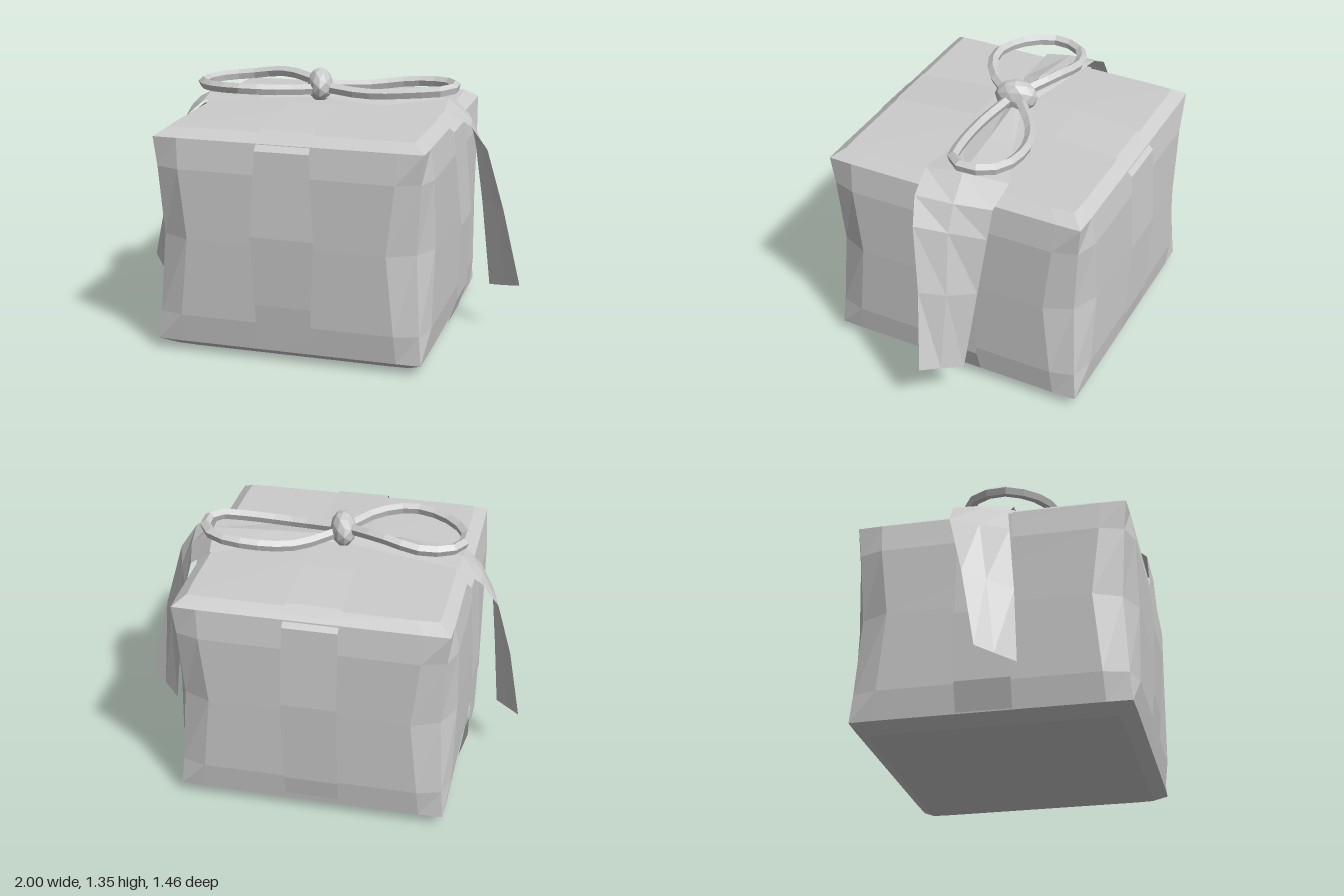
import * as THREE from 'three';

const paper = new THREE.MeshStandardMaterial({ color: 0xcccccc, flatShading: true, side: THREE.DoubleSide });
paper.name = 'plain grey';

function addMesh(group, name, geometry) {
  const mesh = new THREE.Mesh(geometry, paper);
  mesh.name = name;
  group.add(mesh);
  return mesh;
}

// Skin a list of equal-length point rows; closed rows join end to start, caps fan to the centre.
function skin(rows, closed, caps) {
  const n = rows[0].length, pos = rows.flat(2), idx = [];
  for (let j = 0; j < rows.length - 1; j++) {
    for (let i = 0; i < (closed ? n : n - 1); i++) {
      const a = j * n + i, b = j * n + (i + 1) % n;
      idx.push(a, b, b + n, a, b + n, a + n);
    }
  }
  if (caps) {
    const low = pos.length / 3, last = (rows.length - 1) * n;
    pos.push(caps.x, caps.bottom, 0, caps.x, caps.top, 0);
    for (let i = 0; i < n; i++) {
      const k = (i + 1) % n;
      idx.push(low, k, i, low + 1, last + i, last + k);
    }
  }
  const g = new THREE.BufferGeometry();
  g.setAttribute('position', new THREE.Float32BufferAttribute(pos, 3));
  g.setIndex(idx);
  g.computeVertexNormals();
  return g;
}

const CX = -0.035; // box centre in x

// One horizontal ring of the wrapped box: corners pinched in, faces puffed out
function boxRing([y, corner, face, inset]) {
  const ring = [];
  for (let side = 0; side < 4; side++) {
    for (const [u, v] of [[-corner, corner], [-inset, face], [inset, face]]) {
      let x = u, z = v;
      for (let k = 0; k < side; k++) [x, z] = [z, -x];
      ring.push([x + CX, y, z]);
    }
  }
  return ring;
}

export function createModel() {
  const model = new THREE.Group();
  model.name = 'giftBox';

  // Wrapped box: [height, corner half width, face half width, inset]
  const levels = [
    [0.01, 0.6, 0.605, 0.5], [0.055, 0.672, 0.675, 0.55], [0.2, 0.66, 0.693, 0.54],
    [0.6, 0.637, 0.698, 0.5], [0.95, 0.658, 0.696, 0.54], [1.1, 0.672, 0.675, 0.55],
    [1.142, 0.61, 0.615, 0.5],
  ];
  addMesh(model, 'box', skin(levels.map(boxRing), true, { x: CX, bottom: 0, top: 1.15 }));

  // Strap running front to back over the lid: [z, y, left x, right x]
  const lengthways = [
    [0.69, 0.1, -0.18, 0.09], [0.712, 0.3, -0.185, 0.1], [0.73, 0.65, -0.2, 0.12], [0.705, 1.07, -0.18, 0.09],
    [0.61, 1.155, -0.18, 0.09], [0.15, 1.19, -0.18, 0.09], [-0.28, 1.18, -0.18, 0.09],
    [-0.61, 1.155, -0.18, 0.09], [-0.7, 1.07, -0.18, 0.09], [-0.725, 0.65, -0.18, 0.1], [-0.705, 0.2, -0.18, 0.09],
    [-0.685, 0.09, -0.18, 0.09],
  ];
  addMesh(model, 'lengthwaysStrap', skin(lengthways.map(([z, y, l, r]) => [[l, y, z], [r, y, z]]), false));

  // Strap running side to side: [x, y]
  const crossways = [
    [-0.715, 0.06], [-0.757, 0.2], [-0.765, 0.55], [-0.735, 1.08], [-0.65, 1.15], [-0.05, 1.165],
    [0.58, 1.15], [0.665, 1.08], [0.712, 0.6], [0.698, 0.2], [0.655, 0.07],
  ];
  addMesh(model, 'crosswaysStrap', skin(crossways.map(([x, y]) => [[x, y, 0.115], [x, y, -0.155]]), false));

  // Hanging ribbon tails: rows of front edge, crease and back edge
  const leftTail = [
    [[-0.04, 1.2, 0.04], [-0.04, 1.22, 0], [-0.04, 1.2, -0.04]],
    [[0.3, 1.19, 0.1], [0.3, 1.22, -0.03], [0.3, 1.2, -0.16]],
    [[0.62, 1.2, 0.14], [0.6, 1.215, -0.05], [0.56, 1.19, -0.27]],
    [[0.75, 1.12, 0.13], [0.72, 1.11, -0.06], [0.67, 1.1, -0.24]],
    [[0.83, 1.0, 0.1], [0.78, 0.98, -0.06], [0.71, 0.95, -0.23]],
    [[0.91, 0.68, 0.04], [0.85, 0.66, -0.08], [0.76, 0.65, -0.2]],
    [[1.0, 0.27, 0], [0.91, 0.24, -0.07], [0.82, 0.21, -0.15]],
  ];
  const rightTail = [
    [[-0.07, 1.2, 0.04], [-0.07, 1.22, 0], [-0.07, 1.2, -0.04]],
    [[-0.35, 1.19, 0.09], [-0.35, 1.22, 0], [-0.35, 1.19, -0.1]],
    [[-0.66, 1.16, 0.11], [-0.67, 1.18, -0.02], [-0.67, 1.18, -0.16]],
    [[-0.75, 1.08, 0.1], [-0.77, 1.11, -0.03], [-0.78, 1.12, -0.17]],
    [[-0.81, 0.95, 0.12], [-0.84, 0.98, -0.02], [-0.87, 1.0, -0.16]],
    [[-0.84, 0.6, 0.15], [-0.9, 0.64, 0.03], [-0.94, 0.68, -0.08]],
    [[-0.87, 0.22, 0.17], [-0.94, 0.24, 0.08], [-1.0, 0.26, 0]],
  ];
  addMesh(model, 'leftTail', skin(leftTail, false));
  addMesh(model, 'rightTail', skin(rightTail, false));

  // Bow loops
  const loops = {
    rightLoop: [[-0.06, 1.27, -0.01], [-0.27, 1.29, -0.12], [-0.48, 1.26, -0.155], [-0.63, 1.25, -0.09],
      [-0.675, 1.25, 0.05], [-0.57, 1.26, 0.2], [-0.38, 1.27, 0.268], [-0.2, 1.26, 0.2], [-0.06, 1.24, 0.03]],
    leftLoop: [[-0.05, 1.25, -0.02], [0.15, 1.23, -0.18], [0.38, 1.25, -0.25], [0.56, 1.26, -0.21],
      [0.63, 1.265, -0.08], [0.58, 1.26, 0.015], [0.45, 1.25, 0.045], [0.2, 1.235, 0.06], [-0.04, 1.25, 0.02]],
  };
  for (const [name, pts] of Object.entries(loops)) {
    const curve = new THREE.CatmullRomCurve3(pts.map((p) => new THREE.Vector3(...p)));
    addMesh(model, name, new THREE.TubeGeometry(curve, 18, 0.028, 5, false));
  }

  // Knot
  const knot = addMesh(model, 'knot', new THREE.IcosahedronGeometry(1, 1));
  knot.scale.set(0.065, 0.088, 0.11);
  knot.position.set(-0.06, 1.257, 0);
  knot.rotation.y = 0.25;

  return model;
}
